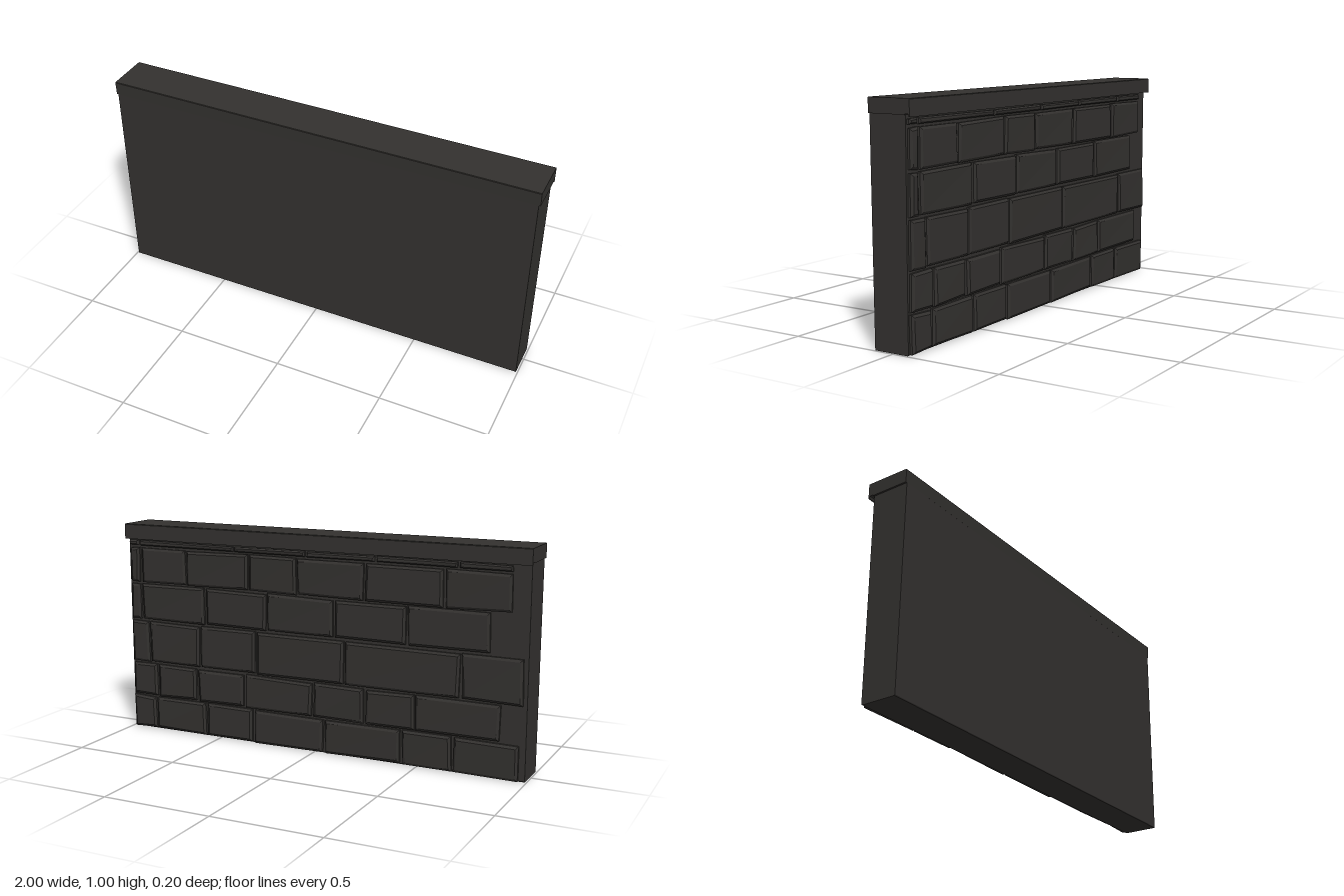
import * as THREE from 'three';

const stone = new THREE.MeshStandardMaterial({ color: 0x33312f, flatShading: true });

// Small seeded generator for hand-cut irregularity, in the range -1..1
function seeded(seed) {
  let s = seed;
  return () => {
    s = (s * 16807) % 2147483647;
    return (s / 2147483647) * 2 - 1;
  };
}

// Side profile (z, y) swept along the width
function sweepProfile(points, width, name) {
  const shape = new THREE.Shape(points.map(([z, y]) => new THREE.Vector2(-z, y)));
  const geo = new THREE.ExtrudeGeometry(shape, { depth: width, bevelEnabled: false });
  geo.translate(0, 0, -width / 2);
  geo.rotateY(Math.PI / 2);
  const mesh = new THREE.Mesh(geo, stone);
  mesh.name = name;
  return mesh;
}

// Block with a chamfered, slightly uneven face towards -z
function brick(x0, x1, y0, y1, rand) {
  const backZ = -0.066, shoulderZ = -0.084, faceZ = -0.092;
  const w = x1 - x0, h = y1 - y0;
  const inset = Math.min(0.011, h * 0.25, w * 0.25);
  const wobble = Math.min(0.004, h * 0.08);
  // One offset per corner, shared by all layers of the block
  const corners = Array.from({ length: 4 }, () => [rand() * wobble, rand() * wobble, rand() * 0.002]);
  const geo = new THREE.BoxGeometry(w, h, 2, 1, 1, 2);
  const p = geo.attributes.position;
  for (let i = 0; i < p.count; i++) {
    const sx = Math.sign(p.getX(i)), sy = Math.sign(p.getY(i)), layer = Math.round(p.getZ(i));
    const [dx, dy, dz] = corners[(sx > 0 ? 1 : 0) + (sy > 0 ? 2 : 0)];
    const cut = layer < 0 ? inset : 0;
    const z = layer > 0 ? backZ : layer === 0 ? shoulderZ : faceZ + dz;
    p.setXYZ(i, (x0 + x1) / 2 + sx * (w / 2 - cut) + dx, (y0 + y1) / 2 + sy * (h / 2 - cut) + dy, z);
  }
  geo.computeVertexNormals();
  const mesh = new THREE.Mesh(geo, stone);
  mesh.name = 'brick';
  return mesh;
}

export function createModel() {
  const model = new THREE.Group();
  model.name = 'brickWall';

  // Wall slab, leaning out very slightly towards the top of the front
  model.add(sweepProfile(
    [[0.094, 0.004], [0.092, 0], [-0.068, 0], [-0.072, 0.004], [-0.075, 0.95], [0.1, 0.95]],
    1.985, 'wallSlab'));

  // Coping that overhangs the brick side, with a stepped underside
  model.add(sweepProfile(
    [[0.1, 0.94], [-0.074, 0.94], [-0.078, 0.943], [-0.093, 0.943], [-0.095, 0.932],
      [-0.1, 0.932], [-0.1, 1], [-0.097, 1.003], [0.1, 1.003], [0.102, 1]],
    2, 'coping'));

  // Courses of bricks: bottom, top and the x positions of the joints
  const courses = [
    [0.006, 0.16, [0.99, 0.856, 0.57, 0.316, -0.05, -0.43, -0.67, -0.97]],
    [0.17, 0.325, [0.99, 0.845, 0.62, 0.362, 0.006, -0.253, -0.494, -0.885]],
    [0.337, 0.534, [0.99, 0.885, 0.6, 0.3, -0.155, -0.7, -0.98]],
    [0.546, 0.717, [0.99, 0.925, 0.57, 0.24, -0.103, -0.45, -0.83]],
    [0.728, 0.89, [0.99, 0.925, 0.667, 0.333, 0.086, -0.247, -0.62, -0.92]],
    [0.902, 0.925, [0.99, 0.93, 0.41, 0.04, -0.3, -0.68, -0.92]],
  ];
  const rand = seeded(417);
  const gap = 0.006;
  const bricks = new THREE.Group();
  bricks.name = 'brickCourses';
  for (const [y0, y1, joints] of courses) {
    for (let i = 0; i + 1 < joints.length; i++) {
      bricks.add(brick(joints[i + 1] + gap, joints[i] - gap, y0, y1, rand));
    }
  }
  model.add(bricks);
  return model;
}
